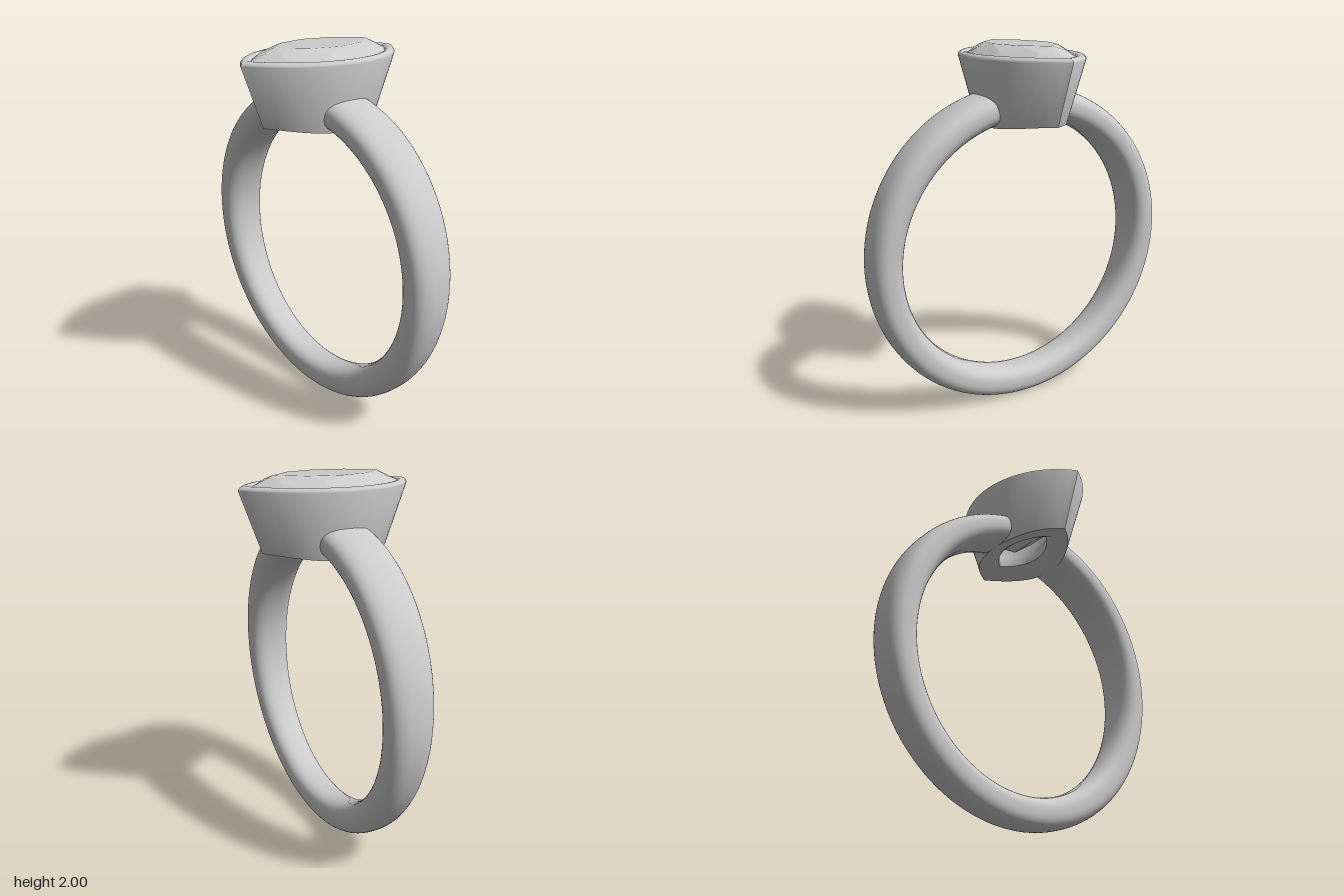
import * as THREE from 'three';
import { toCreasedNormals } from 'three/addons/utils/BufferGeometryUtils.js';
import { ConvexGeometry } from 'three/addons/geometries/ConvexGeometry.js';

const CENTRE_Y = 0.893; // centre of the finger hole
const INNER_R = 0.72;
const OUTER_R = 0.893;

const material = () => new THREE.MeshStandardMaterial({ color: 0xcccccc });

// Skin a list of rings, each a closed loop of points; optionally join last ring to first.
function loft(rings, closed) {
  const n = rings[0].length;
  const m = rings.length;
  const index = [];
  for (let j = 0; j < (closed ? m : m - 1); j++) {
    for (let i = 0; i < n; i++) {
      const k = (i + 1) % n;
      const a = j * n + i, b = j * n + k;
      const c = ((j + 1) % m) * n + k, d = ((j + 1) % m) * n + i;
      index.push(a, b, c, a, c, d);
    }
  }
  const geometry = new THREE.BufferGeometry().setFromPoints(rings.flat());
  geometry.setIndex(index);
  geometry.computeVertexNormals();
  return geometry;
}

// Point on a pointed oval made of two equal arcs: half width a, half length b.
// u runs 0..1 round the outline from the +z tip by way of +x.
function marquise(a, b, u, y) {
  const r = (a * a + b * b) / (2 * a);
  const side = u < 0.5 ? 1 : -1;
  const t = (1 - 4 * (u % 0.5)) * Math.asin(b / r);
  return new THREE.Vector3(side * (r * Math.cos(t) - (r - a)), y, side * r * Math.sin(t));
}

// Band: rounded section swept round the finger, widening towards the top.
function makeBand() {
  const rings = [];
  const start = 0.215, steps = 128, sides = 40;
  const round = (v) => Math.sign(v) * Math.pow(Math.abs(v), 0.8);
  for (let j = 0; j <= steps; j++) {
    const t = start + (j / steps) * (2 * Math.PI - 2 * start);
    const ring = [];
    for (let i = 0; i < sides; i++) {
      const p = (i / sides) * Math.PI * 2;
      const r = (INNER_R + OUTER_R) / 2 + ((OUTER_R - INNER_R) / 2) * round(Math.cos(p));
      const y = CENTRE_Y + r * Math.cos(t);
      const halfWidth = 0.095 + 0.056 * (y / 1.75);
      ring.push(new THREE.Vector3(r * Math.sin(t), y, halfWidth * round(Math.sin(p))));
    }
    rings.push(ring);
  }
  return loft(rings, false);
}

// Bezel: flared marquise cup with a rolled lip, its underside curved to the finger.
function makeBezel() {
  const profile = [[0.21, 0.37, null, 0]];
  for (let k = 0; k <= 8; k++) {
    const t = (k / 8) * Math.PI;
    profile.push([0.2685 + 0.0275 * Math.cos(t), 0.4585 + 0.0325 * Math.cos(t), 1.933 + 0.022 * Math.sin(t)]);
  }
  profile.push(
    [0.24, 0.425, 1.91],
    [0.11, 0.22, 1.7],
    [0.105, 0.21, null, 0.025],
    [0.14, 0.27, null, 0]
  );
  const n = 64;
  const rings = profile.map(([a, b, y, lift]) =>
    Array.from({ length: n }, (_, i) => {
      const p = marquise(a, b, i / n, y ?? 0);
      if (y === null) p.y = CENTRE_Y + Math.sqrt(INNER_R ** 2 - p.x ** 2) + lift;
      return p;
    })
  );
  // Creasing merges points closer than 0.01, so it is done at a larger scale.
  const large = loft(rings, true).scale(100, 100, 100);
  return toCreasedNormals(large, 0.6).scale(0.01, 0.01, 0.01);
}

// Stone: flat table, crown facets, girdle and a pavilion narrowing to a short keel.
function makeStone() {
  const points = [];
  const add = (count, a, b, y, shift = 0) => {
    for (let i = 0; i < count; i++) points.push(marquise(a, b, (i + shift) / count, y));
  };
  add(8, 0.16, 0.3, 2.0);
  add(8, 0.207, 0.38, 1.977, 0.5);
  add(32, 0.244, 0.432, 1.943);
  add(32, 0.244, 0.432, 1.93);
  add(8, 0.14, 0.26, 1.78, 0.5);
  points.push(new THREE.Vector3(0, 1.67, 0.07), new THREE.Vector3(0, 1.67, -0.07));
  return new ConvexGeometry(points);
}

export function createModel() {
  const group = new THREE.Group();
  group.name = 'ring';
  const parts = { band: makeBand(), bezel: makeBezel(), stone: makeStone() };
  for (const [name, geometry] of Object.entries(parts)) {
    const mesh = new THREE.Mesh(geometry, material());
    mesh.name = name;
    mesh.material.flatShading = name === 'stone';
    group.add(mesh);
  }
  return group;
}
